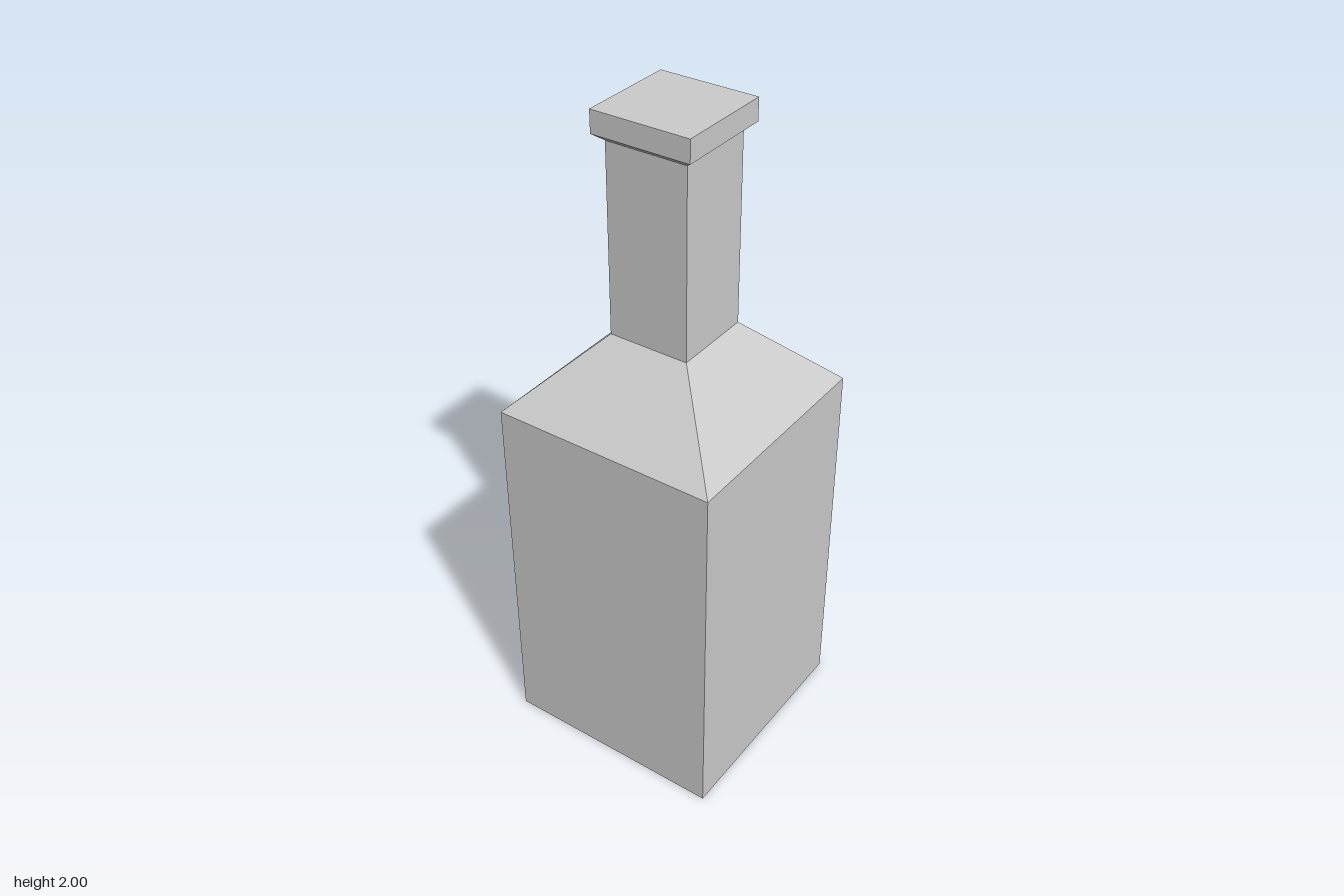
import * as THREE from 'three';

const TURN = THREE.MathUtils.degToRad(-15.4); // the square bottle stands slightly turned
const material = new THREE.MeshStandardMaterial({ color: 0xcccccc, flatShading: true });

// Four-sided part from a profile of [corner radius, height], bottom to top
function squarePart(name, profile) {
  const points = profile.map(([r, y]) => new THREE.Vector2(r, y));
  const mesh = new THREE.Mesh(new THREE.LatheGeometry(points, 4, TURN, Math.PI * 2), material);
  mesh.name = name;
  return mesh;
}

export function createModel() {
  const bottle = new THREE.Group();
  bottle.name = 'bottle';

  const bodyR = 0.484, neckR = 0.174, lipR = 0.21;
  const shoulderY = 1.135, neckY = 1.355, lipY = 1.915;

  bottle.add(
    // Body with closed base
    squarePart('body', [[0, 0], [bodyR, 0], [bodyR, shoulderY]]),
    // Sloping shoulder
    squarePart('shoulder', [[bodyR, shoulderY], [neckR, neckY]]),
    // Straight neck
    squarePart('neck', [[neckR, neckY], [neckR, lipY]]),
    // Flared lip with closed top
    squarePart('lip', [[neckR, lipY], [lipR, 1.935], [lipR, 2], [0, 2]]),
  );
  return bottle;
}
